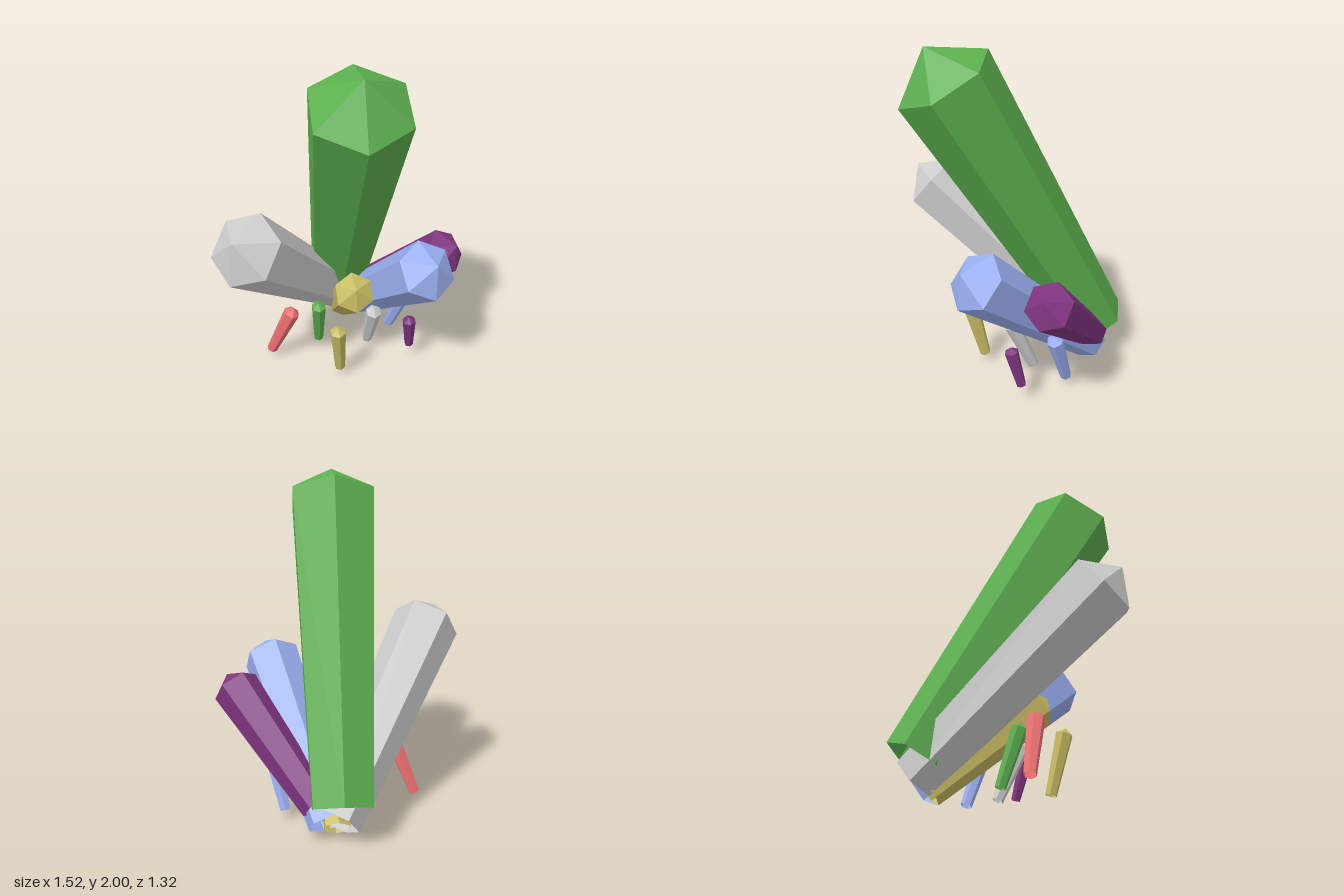
import * as THREE from 'three';

const GREY = 0xcccccc, GREEN = 0x5cb04f, BLUE = 0x9bb0f2, PURPLE = 0x803580, YELLOW = 0xc8bc62, RED = 0xee7070;
const BASE_RATIO = 0.667; // base radius relative to rim radius
const TIP_RATIO = 0.7;    // height of the point relative to rim radius

// Six-sided pointed crystal, open below, running from base centre to rim centre.
// edge: rough direction from the axis to one of its long edges
function crystal(name, color, base, rim, radius, edge = [0, 0, 1]) {
  const from = new THREE.Vector3(...base);
  const axis = new THREE.Vector3(...rim).sub(from);
  const length = axis.length();
  axis.normalize();
  const profile = [
    new THREE.Vector2(radius * BASE_RATIO, 0),
    new THREE.Vector2(radius, length),
    new THREE.Vector2(0, length + radius * TIP_RATIO),
  ];
  const geometry = new THREE.LatheGeometry(profile, 6);
  const material = new THREE.MeshStandardMaterial({ color, flatShading: true, side: THREE.DoubleSide });
  const mesh = new THREE.Mesh(geometry, material);
  const z = new THREE.Vector3(...edge);
  z.addScaledVector(axis, -z.dot(axis)).normalize();
  const x = new THREE.Vector3().crossVectors(axis, z);
  mesh.quaternion.setFromRotationMatrix(new THREE.Matrix4().makeBasis(x, axis, z));
  mesh.position.copy(from);
  mesh.name = name;
  return mesh;
}

export function createModel() {
  const model = new THREE.Group();
  model.name = 'crystalCluster';

  // Large crystals fanning out from one root
  const large = new THREE.Group();
  large.name = 'largeCrystals';
  large.add(
    crystal('mainGreenCrystal', GREEN, [0.095, 0.227, -0.5], [0.01, 1.84, 0.42], 0.28, [-0.02, -0.14, 0.245]),
    crystal('largeGreyCrystal', GREY, [0.13, 0.15, -0.49], [-0.577, 1.065, 0.318], 0.21, [0.102, 0.16, -0.093]),
    crystal('largeBlueCrystal', BLUE, [0.16, 0.11, -0.43], [0.407, 0.855, 0.42], 0.175, [-0.023, 0.137, -0.113]),
    crystal('largePurpleCrystal', PURPLE, [0.22, 0.21, -0.415], [0.64, 0.76, 0.105], 0.138, [-0.04, 0.117, -0.07]),
    crystal('largeYellowCrystal', YELLOW, [0.11, 0.07, -0.42], [0.055, 0.585, 0.17], 0.122, [0, -0.73, 0.67]),
  );

  // Small shards around the front
  const small = new THREE.Group();
  small.name = 'smallCrystals';
  small.add(
    crystal('smallRedCrystal', RED, [-0.43, 0.07, -0.05], [-0.305, 0.395, 0.03], 0.05),
    crystal('smallGreenCrystal', GREEN, [-0.115, 0.068, -0.1], [-0.13, 0.39, 0.0], 0.046),
    crystal('smallYellowCrystal', YELLOW, [-0.04, 0.065, 0.205], [-0.07, 0.4, 0.28], 0.049),
    crystal('smallGreyCrystal', GREY, [0.193, 0.068, -0.02], [0.193, 0.385, 0.12], 0.049),
    crystal('smallPurpleCrystal', PURPLE, [0.42, 0.125, 0.16], [0.395, 0.352, 0.212], 0.041),
    crystal('smallBlueCrystal', BLUE, [0.378, 0.068, -0.15], [0.447, 0.39, -0.035], 0.05),
  );

  model.add(large, small);
  return model;
}
